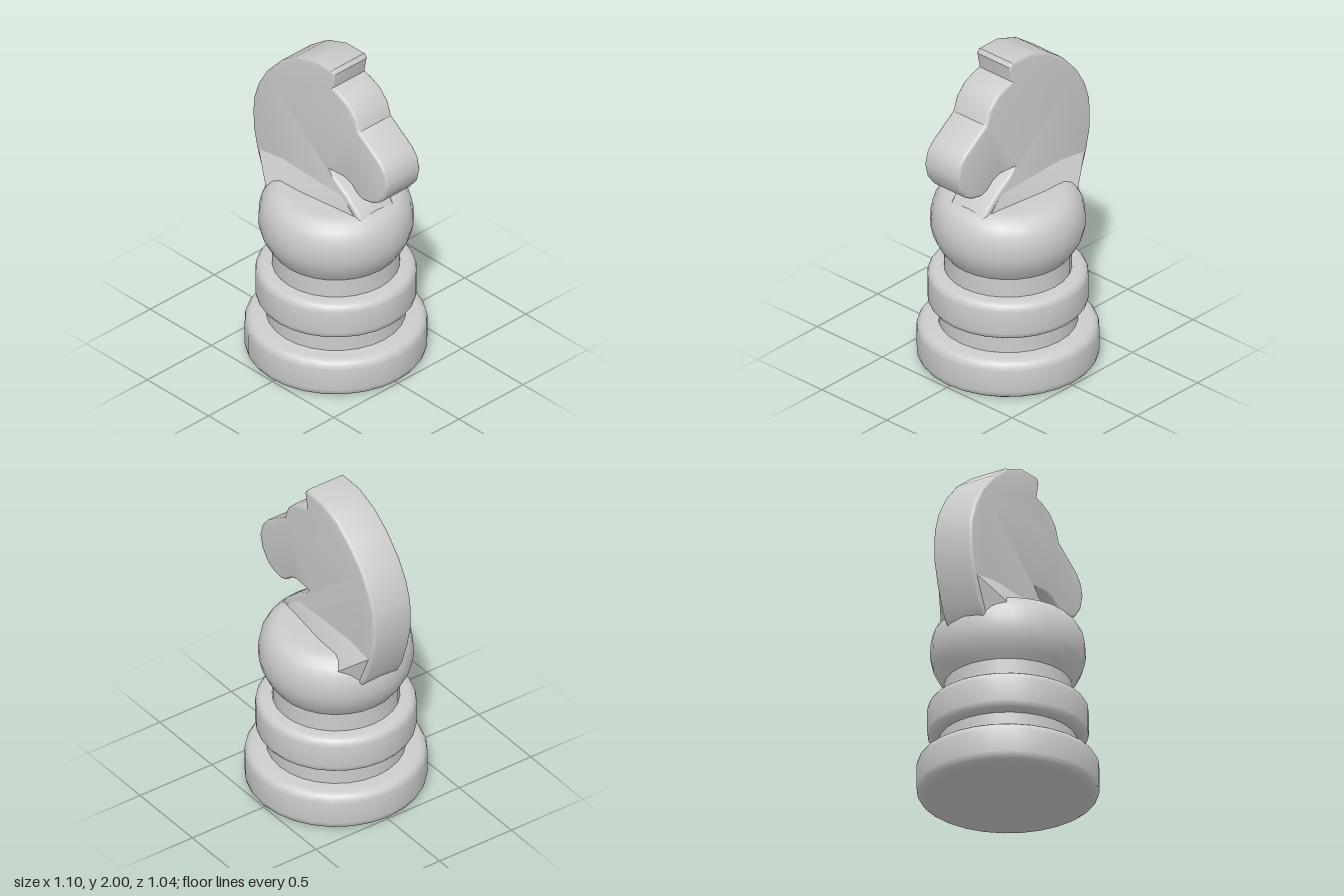
import * as THREE from 'three';
import { toCreasedNormals } from 'three/addons/utils/BufferGeometryUtils.js';
import { ConvexGeometry } from 'three/addons/geometries/ConvexGeometry.js';

const material = new THREE.MeshStandardMaterial({ color: 0xcccccc });
const AXIS_X = -0.005;

function addMesh(group, name, geometry, crease) {
  const mesh = new THREE.Mesh(toCreasedNormals(geometry, crease), material);
  mesh.name = name;
  group.add(mesh);
  return mesh;
}

function addTurned(group, name, profile) {
  const points = profile.map(([r, y]) => new THREE.Vector2(r, y));
  addMesh(group, name, new THREE.LatheGeometry(points, 28), 0.7).position.x = AXIS_X;
}

// Profile of a disc with rounded rims
function discProfile(radius, bottom, top, round) {
  const profile = [[0, bottom]];
  for (const [cy, start] of [[bottom + round, -Math.PI / 2], [top - round, 0]]) {
    for (let i = 0; i <= 4; i++) {
      const a = start + (i / 4) * (Math.PI / 2);
      profile.push([radius - round + round * Math.cos(a), cy + round * Math.sin(a)]);
    }
  }
  profile.push([0, top]);
  return profile;
}

export function createModel() {
  const model = new THREE.Group();
  model.name = 'chessKnight';

  // Stacked pedestal
  addTurned(model, 'base', discProfile(0.518, 0, 0.242, 0.055));
  addTurned(model, 'lowerNeck', [[0.395, 0.2], [0.395, 0.4]]);
  addTurned(model, 'middleRing', discProfile(0.457, 0.35, 0.585, 0.05));
  addTurned(model, 'upperNeck', [[0.362, 0.54], [0.362, 0.74]]);
  addTurned(model, 'bulb', [
    [0, 0.7], [0.362, 0.7], [0.395, 0.745], [0.425, 0.805], [0.441, 0.87], [0.438, 0.94],
    [0.426, 1.0], [0.4, 1.046], [0.37, 1.077], [0.325, 1.096], [0.28, 1.098], [0, 1.098],
  ]);

  // Horse head: one thick silhouette with softened edges
  const outline = [
    [-0.05, 2.0], [0.1, 2.0], [0.118, 1.975], [0.1, 1.878], [0.14, 1.868], [0.22, 1.832],
    [0.285, 1.765], [0.315, 1.68], [0.49, 1.555], [0.53, 1.505], [0.55, 1.43], [0.53, 1.345],
    [0.48, 1.28], [0.43, 1.25], [0.35, 1.235], [0.3, 1.252], [0.25, 1.298], [0.2, 1.315],
    [0.08, 1.312], [0.12, 1.265], [0.22, 1.2], [0.3, 1.13], [0.34, 1.07], [0.3, 0.9],
    [-0.38, 0.9], [-0.42, 0.935], [-0.47, 1.02], [-0.52, 1.17], [-0.549, 1.3], [-0.552, 1.42],
    [-0.545, 1.5], [-0.51, 1.61], [-0.44, 1.73], [-0.33, 1.85], [-0.2, 1.945],
  ];
  const bevel = 0.018;
  const halfDepth = 0.132;
  const head = new THREE.ExtrudeGeometry(
    new THREE.Shape(outline.map(([x, y]) => new THREE.Vector2(x, y))),
    {
      depth: 2 * (halfDepth - bevel), bevelEnabled: true, bevelSize: bevel,
      bevelThickness: bevel, bevelOffset: -bevel, bevelSegments: 3,
    },
  );
  head.translate(0, 0, bevel - halfDepth);
  addMesh(model, 'horseHead', head, 0.6);

  // Neck root flaring sideways into the bulb
  const flare = [
    [-0.51, 1.18, 0.125], [-0.415, 0.935, 0.115], [-0.335, 1.03, 0.232],
    [0.3, 1.08, 0.14], [0.18, 1.19, 0.128], [-0.3, 1.2, 0.131],
  ];
  const corners = [];
  for (const side of [1, -1]) {
    for (const [x, y, z] of flare) corners.push(new THREE.Vector3(x, y, z * side));
  }
  addMesh(model, 'neckFlare', new ConvexGeometry(corners), 0.5);

  return model;
}
